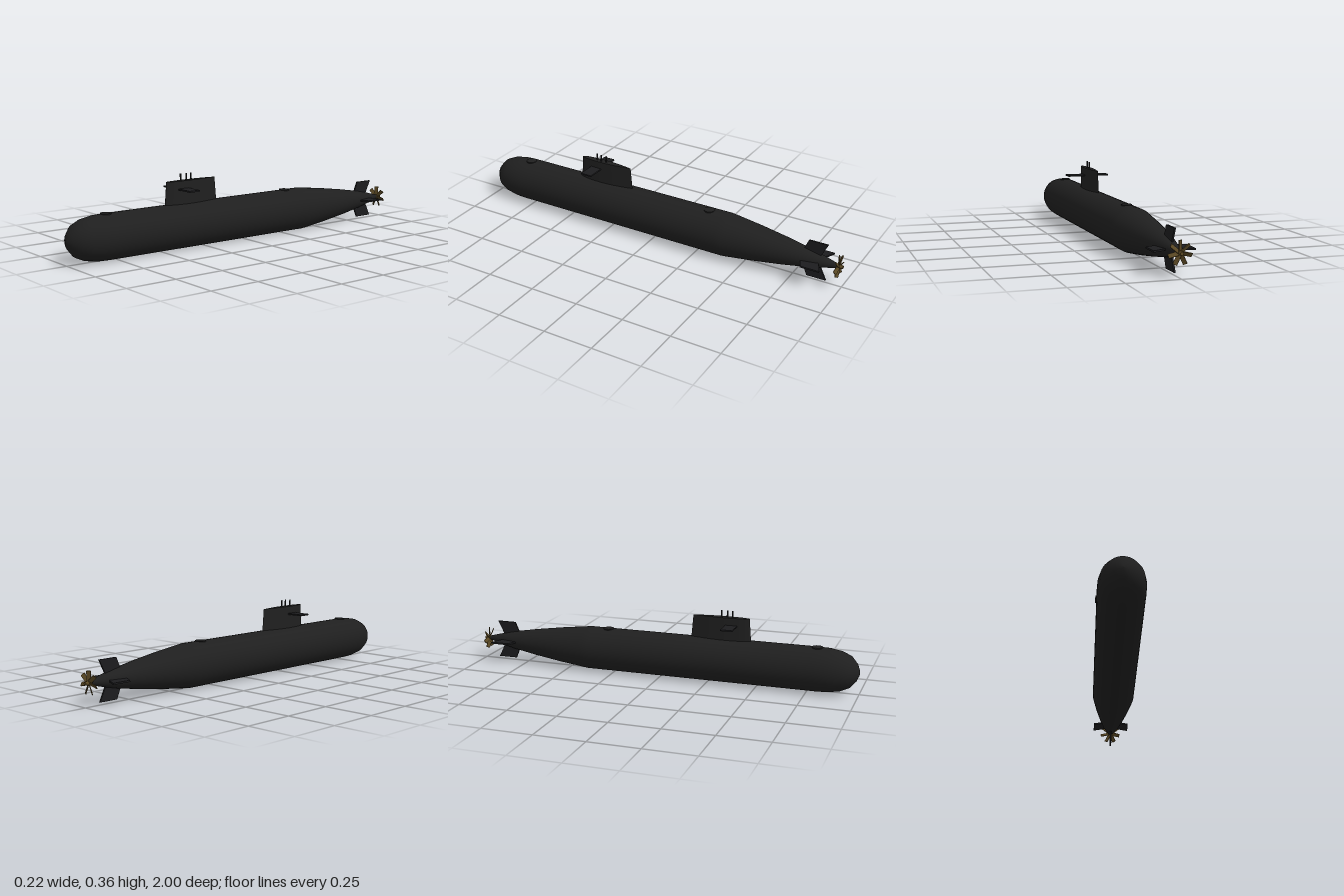
import * as THREE from 'three';

const AXIS_Y = 0.109;

const hullBlack = new THREE.MeshStandardMaterial({ name: 'hull black', color: 0x1f1f1f });
const finBlack = new THREE.MeshStandardMaterial({ name: 'fin black', color: 0x1c1c1e });
const bronze = new THREE.MeshStandardMaterial({ name: 'bronze', color: 0x5a4824 });

function add(parent, name, geometry, material, x = 0, y = 0, z = 0) {
  const mesh = new THREE.Mesh(geometry, material);
  mesh.name = name;
  mesh.position.set(x, y, z);
  parent.add(mesh);
  return mesh;
}

// Hull of revolution: pairs of [z, radius] from stern to bow
function hullGeometry() {
  const profile = [
    [-0.98, 0], [-0.98, 0.008], [-0.9, 0.029], [-0.82, 0.047], [-0.7, 0.068], [-0.55, 0.09],
    [-0.41, 0.107], [-0.39, 0.109], [-0.37, 0.109], [0.79, 0.109],
    [0.85, 0.107], [0.91, 0.097], [0.955, 0.077], [0.985, 0.043], [0.997, 0.015], [1, 0],
  ].map(([z, r]) => new THREE.Vector2(r, z));
  return new THREE.LatheGeometry(profile, 48).rotateX(Math.PI / 2);
}

// Sail: streamlined plan extruded upward, then tapered toward the top
function sailGeometry(bottom, top) {
  const height = top - bottom;
  const plan = new THREE.Shape();
  plan.moveTo(0, 0.152);
  plan.bezierCurveTo(0.01, 0.152, 0.02, 0.4, 0.02, 0.3);
  plan.curves.pop();
  plan.currentPoint.set(0, 0.152);
  plan.bezierCurveTo(0.008, 0.2, 0.02, 0.25, 0.02, 0.33);
  plan.bezierCurveTo(0.02, 0.4, 0.013, 0.463, 0, 0.463);
  plan.bezierCurveTo(-0.013, 0.463, -0.02, 0.4, -0.02, 0.33);
  plan.bezierCurveTo(-0.02, 0.25, -0.008, 0.2, 0, 0.152);
  const g = new THREE.ExtrudeGeometry(plan, { depth: height, bevelEnabled: false, curveSegments: 10 });
  g.rotateX(Math.PI / 2).translate(0, top, 0);
  const p = g.attributes.position;
  for (let i = 0; i < p.count; i++) {
    const t = (p.getY(i) - bottom) / height;
    p.setX(i, p.getX(i) * (1 - 0.1 * t));
    p.setZ(i, 0.315 + (p.getZ(i) - 0.315) * (1 - 0.075 * t));
  }
  g.computeVertexNormals();
  return g;
}

// Swept stern fin lying in the x-z plane, root at the axis
function finGeometry() {
  const outline = new THREE.Shape([
    new THREE.Vector2(0.01, -0.785), new THREE.Vector2(0.01, -0.875),
    new THREE.Vector2(0.035, -0.89), new THREE.Vector2(0.097, -0.92),
    new THREE.Vector2(0.097, -0.822), new THREE.Vector2(0.045, -0.8),
  ]);
  const t = 0.008;
  return new THREE.ExtrudeGeometry(outline, { depth: t, bevelEnabled: false })
    .translate(0, 0, -t / 2).rotateX(Math.PI / 2);
}

export function createModel() {
  const model = new THREE.Group();
  model.name = 'submarine';

  add(model, 'hull', hullGeometry(), hullBlack, 0, AXIS_Y, 0);
  add(model, 'sail', sailGeometry(0.19, 0.33), hullBlack);

  // Deck hatches
  for (const z of [0.79, -0.29]) {
    add(model, 'deckHatch', new THREE.CylinderGeometry(0.027, 0.027, 0.012, 20), hullBlack, 0, 0.2145, z);
  }

  // Sail planes
  for (const side of [-1, 1]) {
    add(model, 'sailPlane', new THREE.BoxGeometry(0.094, 0.007, 0.06), finBlack, side * 0.063, 0.29, 0.363);
  }

  // Masts
  for (const [x, z] of [[-0.003, 0.366], [0.004, 0.338], [0.003, 0.309]]) {
    add(model, 'mast', new THREE.CylinderGeometry(0.004, 0.004, 0.045, 10), finBlack, x, 0.3405, z);
  }

  // Cross-shaped stern fins
  for (let i = 0; i < 4; i++) {
    add(model, 'sternFin', finGeometry(), finBlack, 0, AXIS_Y, 0).rotation.z = i * Math.PI / 2;
  }

  // Propeller with seven pitched blades
  const propeller = new THREE.Group();
  propeller.name = 'propeller';
  propeller.position.set(0, AXIS_Y, -0.978);
  model.add(propeller);
  add(propeller, 'hub', new THREE.CylinderGeometry(0.012, 0.008, 0.044, 16).rotateX(Math.PI / 2), bronze);
  for (let i = 0; i < 7; i++) {
    const blade = new THREE.BoxGeometry(0.02, 0.048, 0.004).rotateY(0.6).translate(0, 0.031, 0);
    add(propeller, 'blade', blade, bronze).rotation.z = i * Math.PI * 2 / 7;
  }
  return model;
}
